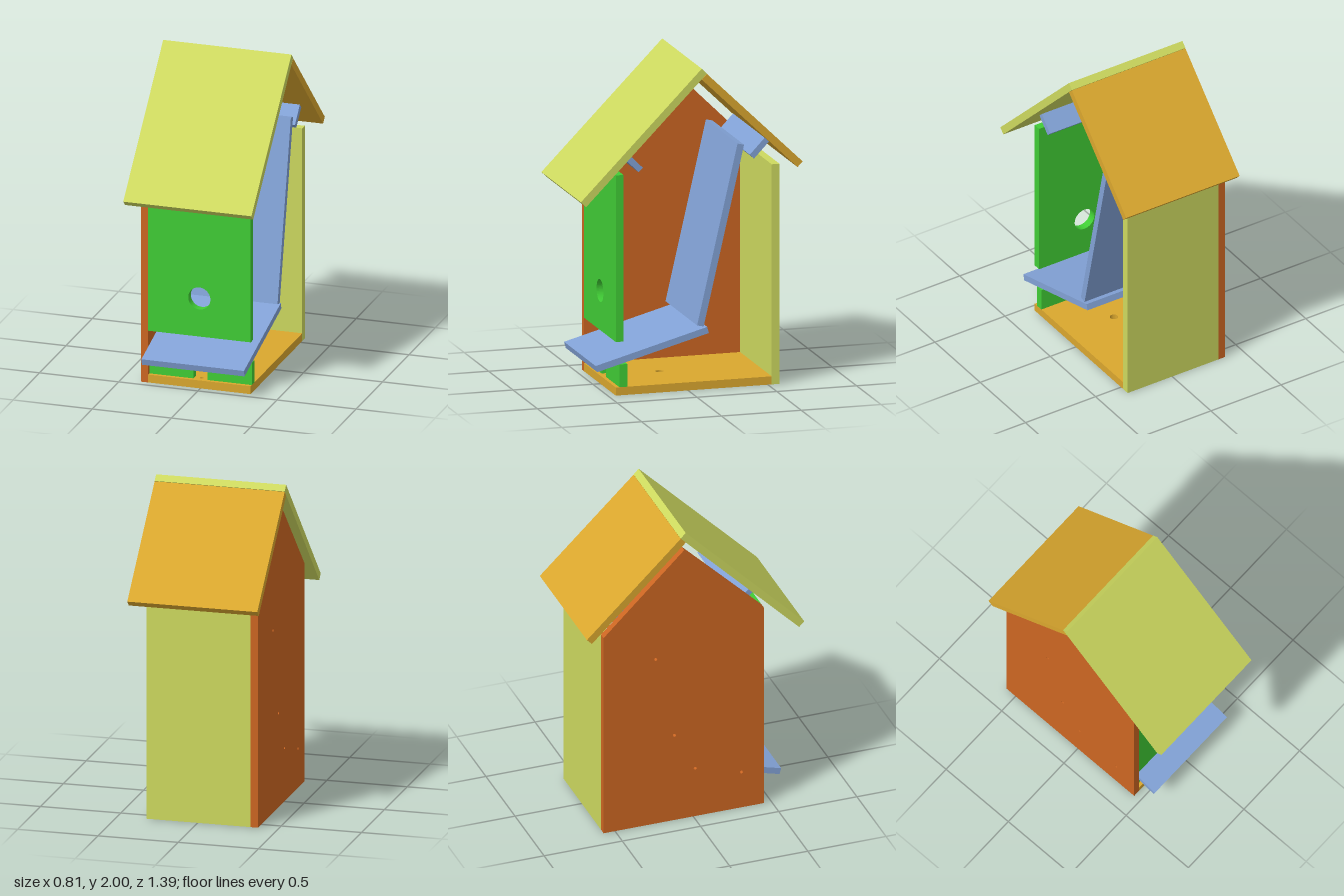
import * as THREE from 'three';

const COLORS = { orange: 0xcc6622, lime: 0xcdd95f, green: 0x40cc35, blue: 0x82a2d6, gold: 0xdaa72e };
const IN_L = -0.33, IN_R = 0.318;            // inner width between wall and open side
const MID = (IN_L + IN_R) / 2, WIDTH = IN_R - IN_L;

export function createModel() {
  const group = new THREE.Group();
  group.name = 'nestBoxCutaway';
  const mats = {};
  for (const key in COLORS) mats[key] = new THREE.MeshStandardMaterial({ color: COLORS[key] });

  const add = (name, geometry, color) => {
    const mesh = new THREE.Mesh(geometry, mats[color]);
    mesh.name = name;
    group.add(mesh);
    return mesh;
  };

  // Flat plate cut from an outline, with round holes [x, y, radius]
  const plate = (points, thickness, holes = []) => {
    const shape = new THREE.Shape(points.map(([x, y]) => new THREE.Vector2(x, y)));
    for (const [x, y, r] of holes) shape.holes.push(new THREE.Path().absarc(x, y, r, 0, Math.PI * 2, true));
    return new THREE.ExtrudeGeometry(shape, { depth: thickness, bevelEnabled: false, curveSegments: 24 });
  };

  // Sloping board whose centre line runs from [z, y] to [z, y]
  const board = (name, color, [z1, y1], [z2, y2], thickness, width = WIDTH, x = MID) => {
    const length = Math.hypot(z2 - z1, y2 - y1);
    const mesh = add(name, new THREE.BoxGeometry(width, thickness, length), color);
    mesh.position.set(x, (y1 + y2) / 2, (z1 + z2) / 2);
    mesh.rotation.x = -Math.atan2(y2 - y1, z2 - z1);
  };

  // Gabled side wall with screw holes (outline drawn as -z, y, then turned to face +x)
  const wall = plate(
    [[-0.453, 0], [0.573, 0], [0.573, 1.357], [0.058, 1.863], [-0.453, 1.357]], 0.045,
    [[0.24, 1.14, 0.01], [0.12, 0.588, 0.01], [-0.013, 0.332, 0.01], [-0.308, 0.245, 0.01]]);
  wall.rotateY(Math.PI / 2).translate(-0.375, 0, 0);
  add('sideWall', wall, 'orange');

  // Floor with drain hole and screw hole (outline drawn as x, -z, then laid flat)
  const floor = plate(
    [[IN_L, -0.453], [IN_R, -0.453], [IN_R, 0.524], [IN_L, 0.524]], 0.05,
    [[MID, -0.08, 0.025], [MID, -0.405, 0.012]]);
  floor.rotateX(-Math.PI / 2);
  add('floor', floor, 'gold');

  // Back panel
  const back = add('backPanel', new THREE.BoxGeometry(WIDTH, 1.357, 0.049), 'lime');
  back.position.set(MID, 1.357 / 2, -0.5485);

  // Front panel with round hole
  const front = plate(
    [[IN_L, 0.33], [IN_R, 0.33], [IN_R, 1.357], [IN_L, 1.357]], 0.048, [[MID, 0.573, 0.07]]);
  front.translate(0, 0, 0.405);
  add('frontPanel', front, 'green');

  // Low front rail with a notch at the bottom
  const rail = plate([
    [IN_L, 0.05], [MID - 0.044, 0.05], [MID - 0.044, 0.145], [MID + 0.044, 0.145],
    [MID + 0.044, 0.05], [IN_R, 0.05], [IN_R, 0.19], [IN_L, 0.19]], 0.05);
  rail.translate(0, 0, 0.38);
  add('frontRail', rail, 'green');

  // Sloping boards inside
  board('landingBoard', 'blue', [0.574, 0.172], [-0.125, 0.364], 0.04);
  board('innerBackBoard', 'blue', [-0.077, 0.392], [-0.33, 1.495], 0.042);

  // Roof cleats
  board('frontRoofCleat', 'blue', [0.388, 1.471], [0.297, 1.38], 0.037);
  board('rearRoofCleat', 'blue', [-0.495, 1.513], [-0.4, 1.413], 0.037);

  // Roof, the front half lapping over the rear half at the ridge
  board('frontRoof', 'lime', [-0.0755, 1.983], [0.682, 1.213], 0.046, 0.81, 0);
  board('rearRoof', 'gold', [-0.0755, 1.948], [-0.675, 1.367], 0.046, 0.81, 0);

  return group;
}
